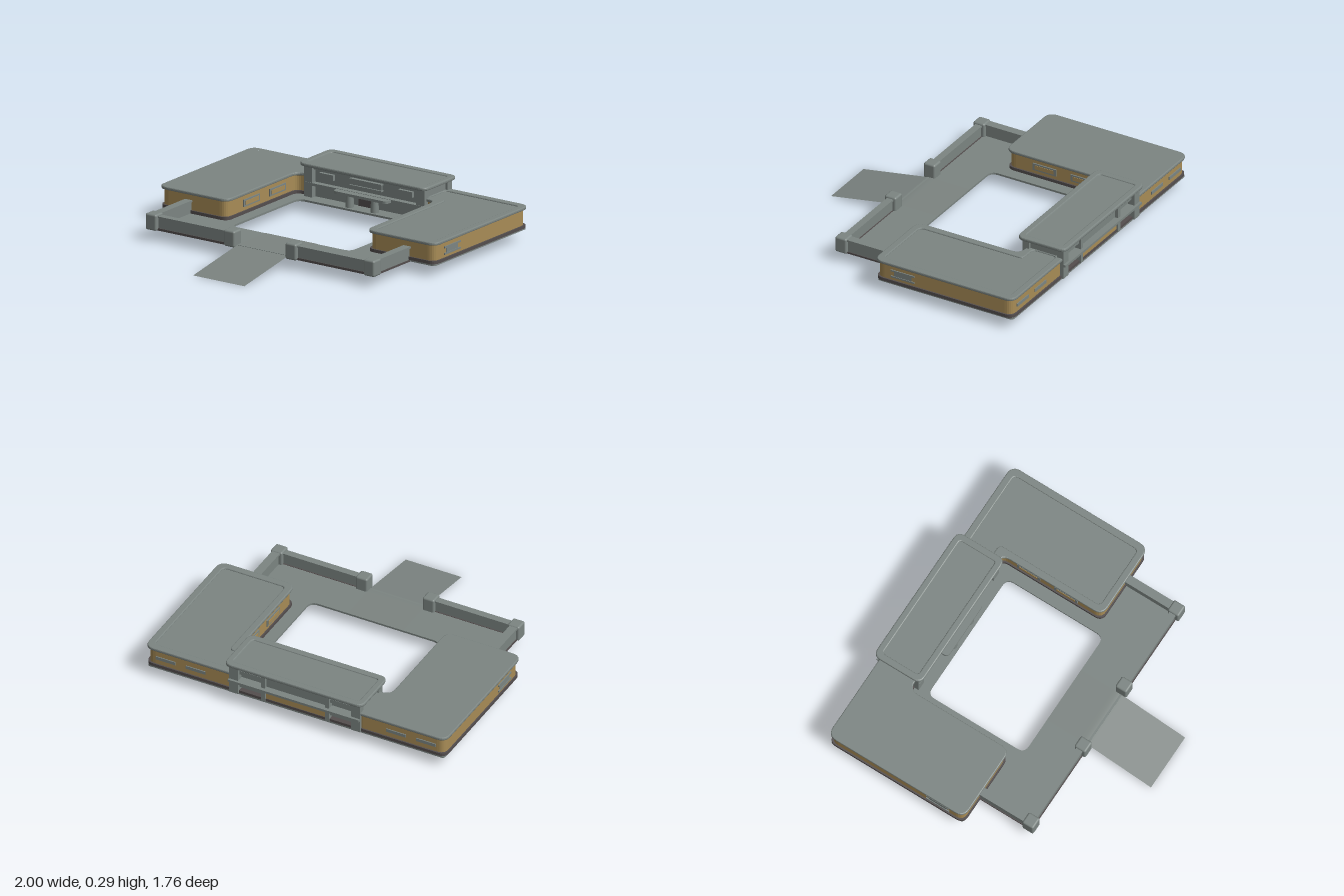
import * as THREE from 'three';
import { RoundedBoxGeometry } from 'three/addons/geometries/RoundedBoxGeometry.js';

const mat = (name, color) => {
  const m = new THREE.MeshStandardMaterial({ color });
  m.name = name;
  return m;
};

// closed path through [x, z] corners, each rounded by r
function rounded(path, pts, r) {
  const v = pts.map(([x, z]) => new THREE.Vector2(x, -z));
  v.forEach((p, i) => {
    const a = v[(i + v.length - 1) % v.length], b = v[(i + 1) % v.length];
    const s = p.clone().add(a.clone().sub(p).setLength(r));
    const e = p.clone().add(b.clone().sub(p).setLength(r));
    if (i === 0) path.moveTo(s.x, s.y); else path.lineTo(s.x, s.y);
    path.quadraticCurveTo(p.x, p.y, e.x, e.y);
  });
  path.closePath();
  return path;
}

// horizontal slab from y0 to y1, with an optional hole and softened edge
function slab(outline, y0, y1, r = 0.05, hole = null, holeR = 0.03, bevel = 0) {
  const shape = rounded(new THREE.Shape(), outline, r);
  if (hole) shape.holes.push(rounded(new THREE.Path(), hole, holeR));
  const g = new THREE.ExtrudeGeometry(shape, {
    depth: y1 - y0 - 2 * bevel, curveSegments: 6, bevelEnabled: bevel > 0,
    bevelSize: bevel, bevelThickness: bevel, bevelOffset: -bevel, bevelSegments: 2,
  });
  return g.rotateX(-Math.PI / 2).translate(0, y0 + bevel, 0);
}

const rect = (x0, x1, z0, z1) => [[x0, z1], [x1, z1], [x1, z0], [x0, z0]];

export function createModel() {
  const root = new THREE.Group();
  root.name = 'courtyardBuilding';
  const grey = mat('greyConcrete', 0x7c8582);
  const tan = mat('tanWall', 0xa88c56);
  const dark = mat('darkBase', 0x544e4e);
  const ramMat = mat('rampGrey', 0x7c8481);
  ramMat.side = THREE.DoubleSide;

  const add = (name, geo, m, parent = root) => {
    const mesh = new THREE.Mesh(geo, m);
    mesh.name = name;
    parent.add(mesh);
    return mesh;
  };
  // box given by its limits
  const box = (name, x0, x1, y0, y1, z0, z1, m, parent = root) =>
    add(name, new THREE.BoxGeometry(x1 - x0, y1 - y0, z1 - z0)
      .translate((x0 + x1) / 2, (y0 + y1) / 2, (z0 + z1) / 2), m, parent);

  // floor with the open courtyard
  const floor = [[0.8, 0.44], [0.8, 0.085], [0.985, 0.085], [0.985, -0.84],
    [-0.985, -0.84], [-0.985, 0.085], [-0.8, 0.085], [-0.8, 0.44]];
  add('floor', slab(floor, 0.066, 0.078, 0.02, rect(-0.43, 0.43, -0.52, 0.155), 0.05), grey);

  // thin ramp: level strip, then a slope down to the ground
  const ramp = new THREE.PlaneGeometry(0.37, 0.725, 1, 29).rotateX(-Math.PI / 2).translate(0, 0, 0.5175);
  const pos = ramp.attributes.position;
  for (let i = 0; i < pos.count; i++) {
    pos.setY(i, Math.min(0.0795, (0.88 - pos.getZ(i)) * 0.173));
  }
  ramp.computeVertexNormals();
  add('ramp', ramp, ramMat);

  for (const s of [1, -1]) {
    const side = new THREE.Group();
    side.name = s > 0 ? 'leftSide' : 'rightSide';
    root.add(side);
    // box mirrored to this side
    const sbox = (name, x0, x1, y0, y1, z0, z1, m) =>
      box(name, s > 0 ? x0 : -x1, s > 0 ? x1 : -x0, y0, y1, z0, z1, m, side);

    // wing: outline shrinks by i
    const wing = (i) => [[1 - i, 0.1 - i], [1 - i, -0.85 + i], [0.38 + i, -0.85 + i],
      [0.38 + i, -0.6 - i], [0.5 + i, -0.6 - i], [0.5 + i, 0.1 - i]].map(([x, z]) => [s * x, z]);
    add('wingBase', slab(wing(0.006), 0.078, 0.097, 0.05), dark, side);
    add('wingWall', slab(wing(0.015), 0.097, 0.194, 0.05), tan, side);
    add('wingRoofPanel', slab(wing(0.03), 0.192, 0.204, 0.04), grey, side);
    add('wingRoofRim', slab(wing(0), 0.192, 0.212, 0.06, wing(0.045), 0.03, 0.006), grey, side);

    // window strips on outer, inner and back walls
    for (const y of [0.115, 0.155]) {
      sbox('outerWindowRail', 0.98, 0.992, y, y + 0.01, -0.17, -0.01, grey);
    }
    sbox('outerWindow', 0.98, 0.988, 0.125, 0.155, -0.15, -0.03, grey);
    for (const z of [-0.16, -0.42]) {
      sbox('innerWindowFrame', 0.508, 0.518, 0.12, 0.165, z - 0.08, z + 0.08, grey);
      sbox('innerWindowPane', 0.505, 0.51, 0.13, 0.155, z - 0.065, z + 0.065, tan);
    }
    for (const x of [0.6, 0.8]) {
      sbox('backWindow', x, x + 0.13, 0.13, 0.15, -0.841, -0.833, grey);
    }

    // parapets with raised caps and end posts
    sbox('frontParapet', 0.24, 0.77, 0.067, 0.146, 0.415, 0.445, grey);
    sbox('frontParapetCap', 0.24, 0.77, 0.143, 0.153, 0.408, 0.452, grey);
    sbox('frontParapetFoot', 0.24, 0.77, 0.066, 0.08, 0.408, 0.45, dark);
    sbox('sideParapet', 0.77, 0.805, 0.067, 0.15, 0.08, 0.41, grey);
    sbox('sideParapetCap', 0.762, 0.815, 0.147, 0.158, 0.08, 0.41, grey);
    sbox('sideParapetFoot', 0.766, 0.81, 0.065, 0.076, 0.08, 0.41, dark);
    for (const x of [0.222, 0.787]) {
      add('post', new RoundedBoxGeometry(0.078, 0.1, 0.078, 2, 0.012)
        .translate(s * x, 0.115, 0.432), grey, side);
    }

    // corner pillars of the raised hall
    for (const z of [-0.6, -0.835]) {
      sbox('hallPillar', 0.375, 0.435, 0.078, 0.272, z - 0.022, z + 0.022, grey);
    }
    sbox('hallEndWall', 0.4, 0.42, 0.078, 0.272, -0.84, -0.59, grey);
    // front and back window bays of the hall
    sbox('frontWindow', 0.235, 0.335, 0.2, 0.235, -0.615, -0.592, grey);
    sbox('backMullion', 0.2, 0.225, 0.078, 0.272, -0.85, -0.79, grey);
    for (const y of [0.12, 0.21]) {
      sbox('backWindowBar', 0.225, 0.375, y, y + 0.025, -0.838, -0.8, grey);
    }
    // entrance columns
    add('entranceColumn', new THREE.CylinderGeometry(0.022, 0.026, 0.075, 12)
      .translate(s * 0.09, 0.115, -0.56), grey, side);
  }

  // raised hall body, ledges and roof
  box('hallBody', -0.4, 0.4, 0.078, 0.272, -0.81, -0.612, grey);
  box('hallBackBand', -0.2, 0.2, 0.095, 0.155, -0.838, -0.8, tan);
  box('hallBackFoot', -0.4, 0.4, 0.078, 0.095, -0.842, -0.8, dark);
  box('hallBackPanel', -0.2, 0.2, 0.175, 0.272, -0.83, -0.8, grey);
  box('hallBackLedge', -0.435, 0.435, 0.158, 0.173, -0.872, -0.8, grey);
  box('hallFrontLedge', -0.43, 0.43, 0.152, 0.168, -0.612, -0.575, grey);
  box('hallFrontLintel', -0.4, 0.4, 0.25, 0.272, -0.62, -0.59, grey);
  box('centreWindow', -0.11, 0.11, 0.195, 0.242, -0.62, -0.598, grey);
  for (const y of [0.195, 0.234]) {
    box('centreWindowRail', -0.115, 0.115, y, y + 0.008, -0.62, -0.588, grey);
  }
  const hall = (i) => rect(-0.46 + i, 0.46 - i, -0.88 + i, -0.55 - i);
  add('hallRoofPanel', slab(hall(0.02), 0.268, 0.283, 0.03), grey);
  add('hallRoofRim', slab(hall(0), 0.268, 0.29, 0.05, hall(0.042), 0.02, 0.007), grey);

  // entrance canopy and door
  add('entranceCanopy', slab(rect(-0.195, 0.195, -0.62, -0.53), 0.15, 0.166, 0.03), grey);
  box('entranceDoor', -0.06, 0.06, 0.078, 0.14, -0.615, -0.607, dark);
  return root;
}
